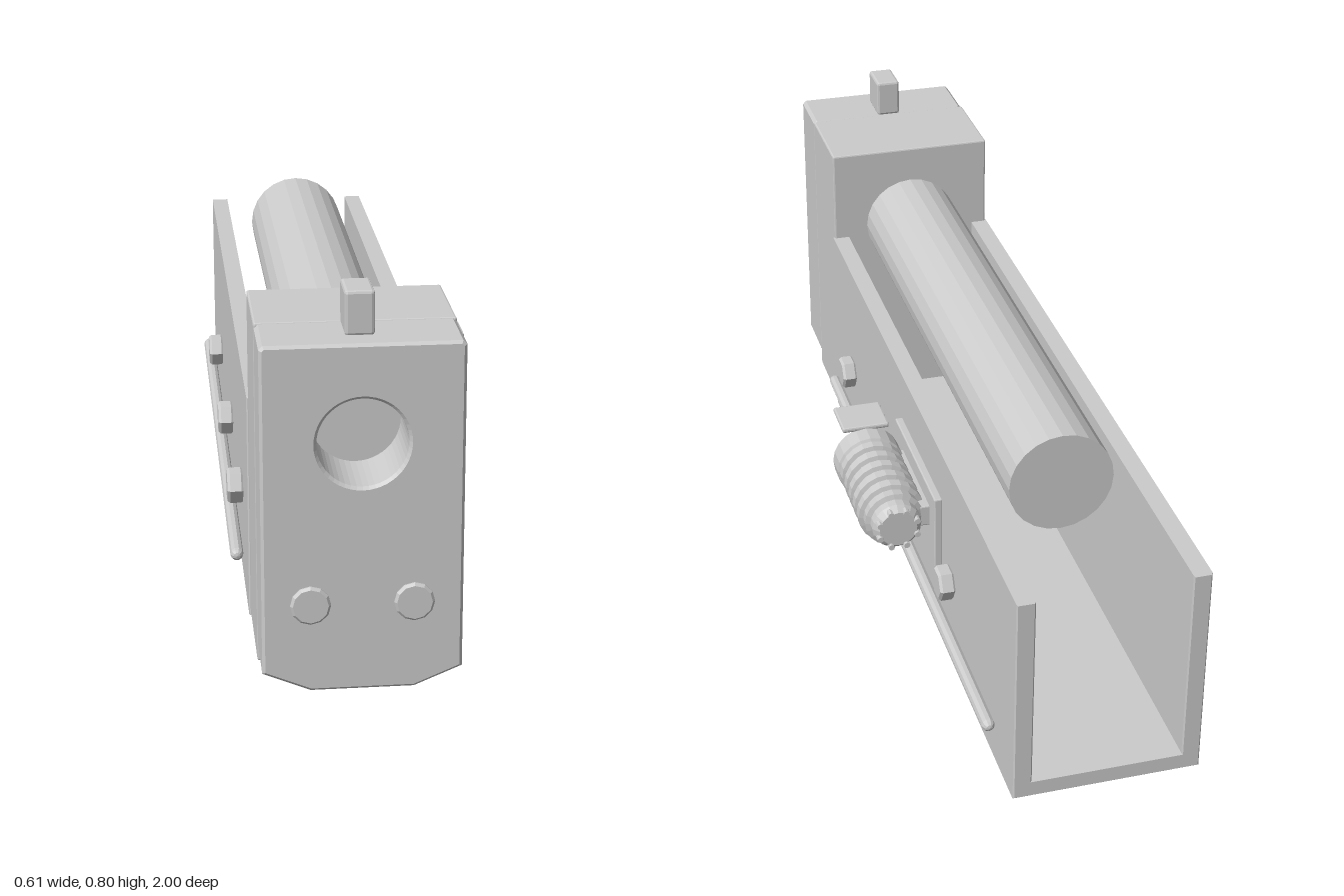
import * as THREE from 'three';
import { RoundedBoxGeometry } from 'three/addons/geometries/RoundedBoxGeometry.js';

const CX = -0.07; // centre line of the main body

export function createModel() {
  const model = new THREE.Group();
  const mat = new THREE.MeshStandardMaterial({ color: 0xcccccc, flatShading: true });

  const add = (name, geo, x = 0, y = 0, z = 0) => {
    const mesh = new THREE.Mesh(geo, mat);
    mesh.name = name;
    mesh.position.set(x, y, z);
    model.add(mesh);
    return mesh;
  };
  // Box given by its minimum and maximum corners
  const box = (name, a, b, r = 0.004) => add(name,
    new RoundedBoxGeometry(b[0] - a[0], b[1] - a[1], b[2] - a[2], 1, r),
    (a[0] + b[0]) / 2, (a[1] + b[1]) / 2, (a[2] + b[2]) / 2);
  // Turned solid from [radius, height] pairs, rising along y
  const turned = (points, sides) =>
    new THREE.LatheGeometry(points.map(p => new THREE.Vector2(...p)), sides);
  const polygon = pts => new THREE.Shape(pts.map(p => new THREE.Vector2(...p)));
  const extrude = (shape, depth, bevel) => new THREE.ExtrudeGeometry(shape, {
    depth: depth - 2 * bevel, bevelThickness: bevel, bevelSize: bevel,
    bevelOffset: -bevel, bevelSegments: 1, curveSegments: 24,
  }).translate(0, 0, bevel);

  // Open U-shaped channel
  const channel = polygon([[-0.202, 0], [0.202, 0], [0.202, 0.49], [0.162, 0.49],
    [0.162, 0.04], [-0.162, 0.04], [-0.162, 0.49], [-0.202, 0.49]]);
  add('channel', extrude(channel, 1.63, 0.003), CX, 0, -1);

  // Block and drilled front plate with cut lower corners
  box('block', [-0.268, 0, 0.62], [0.128, 0.716, 0.846]);
  const plate = polygon([[-0.102, 0.002], [0.102, 0.002], [0.197, 0.042], [0.197, 0.708],
    [0.189, 0.716], [-0.189, 0.716], [-0.197, 0.708], [-0.197, 0.042]]);
  plate.holes.push(new THREE.Path().absarc(0, 0.517, 0.089, 0, Math.PI * 2, true));
  add('frontPlate', extrude(plate, 0.146, 0.006), CX, 0, 0.846);
  box('sight', [-0.1, 0.714, 0.846], [-0.042, 0.803, 0.938], 0.006);

  // Main tube lying in the channel
  add('tube', new THREE.CylinderGeometry(0.114, 0.114, 1.29, 24).rotateX(Math.PI / 2),
    CX, 0.517, -0.005);

  // Front screws
  for (const x of [-0.172, 0.031]) {
    add('frontScrew', turned([[0, 0], [0.04, 0], [0.04, 0.011], [0.035, 0.016], [0, 0.016]], 12)
      .rotateX(Math.PI / 2), x, 0.187, 0.984);
  }

  // Hex bolts and rail on each side
  for (const side of [-1, 1]) {
    const wall = CX + side * 0.2;
    for (const z of [0.42, -0.01, -0.52]) {
      add('sideBolt', turned([[0, 0], [0.034, 0], [0.039, 0.006], [0.039, 0.03],
        [0.034, 0.036], [0, 0.036]], 6).rotateZ(-side * Math.PI / 2), wall, 0.213, z);
    }
    add('sideRail', new THREE.CapsuleGeometry(0.014, 1.442, 3, 10).rotateX(Math.PI / 2),
      CX + side * 0.223, 0.11, -0.165);
  }

  // Mounting plate and bracket for the side cylinder
  box('mountPlate', [0.13, 0.2, -0.443], [0.149, 0.377, -0.09], 0.003);
  box('bracket', [0.145, 0.285, -0.4], [0.185, 0.335, -0.16], 0.003);

  // Ribbed cylinder with a hollow front; heights are its z positions
  const profile = [[0, -0.437], [0.042, -0.437], [0.055, -0.422], [0.055, -0.402],
    [0.066, -0.398]];
  for (let i = 0; i < 5; i++) {
    const z = -0.375 + i * 0.041;
    profile.push([0.064, z], [0.074, z + 0.003], [0.074, z + 0.024], [0.064, z + 0.027]);
  }
  profile.push([0.07, -0.183], [0.077, -0.179], [0.077, -0.13], [0.072, -0.125],
    [0.052, -0.125], [0.046, -0.131], [0.046, -0.18], [0, -0.18]);
  add('ribbedCylinder', turned(profile, 20).rotateX(Math.PI / 2), 0.228, 0.312, 0);

  // Small studs around the rear end
  for (let i = 0; i < 8; i++) {
    const a = i * Math.PI / 4 + Math.PI / 8;
    add('rearStud', new THREE.CylinderGeometry(0.007, 0.007, 0.03, 8).rotateX(Math.PI / 2),
      0.228 + 0.045 * Math.cos(a), 0.312 + 0.045 * Math.sin(a), -0.429);
  }
  box('hoodTab', [0.174, 0.383, -0.135], [0.282, 0.395, -0.035], 0.004);
  return model;
}
